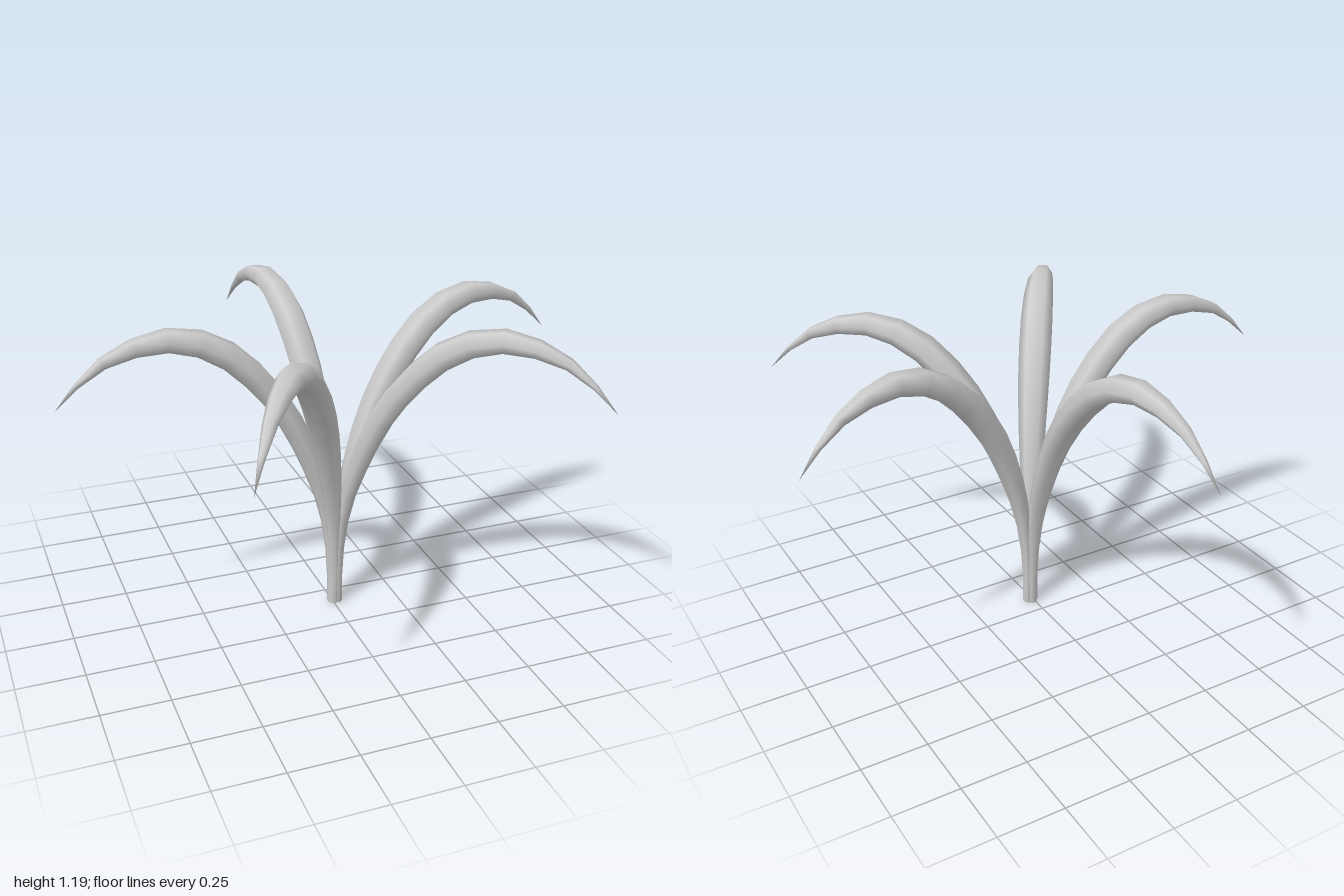
import * as THREE from 'three';
import { mergeVertices } from 'three/addons/utils/BufferGeometryUtils.js';

// Leaf midline: distance from the centre, height, half width
const MIDLINE = [
  [0.015, 0, 0.018], [0.017, 0.2, 0.02], [0.037, 0.4, 0.031], [0.08, 0.565, 0.044],
  [0.175, 0.793, 0.057], [0.28, 0.95, 0.0625], [0.405, 1.075, 0.062], [0.545, 1.143, 0.055],
  [0.65, 1.15, 0.047], [0.77, 1.125, 0.034], [0.88, 1.07, 0.019], [1.01, 0.943, 0],
];
const SIDES = 6;
const SEGMENTS = 16;
const THICKNESS = 0.85;

// Bends a six-sided tube along the midline, swelling and tapering to a point
function leafGeometry() {
  const curve = new THREE.CatmullRomCurve3(MIDLINE.map((p) => new THREE.Vector3(...p)));
  const tube = new THREE.CylinderGeometry(1, 1, 1, SIDES, SEGMENTS, true);
  const pos = tube.attributes.position;
  for (let i = 0; i < pos.count; i++) {
    const u = THREE.MathUtils.clamp(pos.getY(i) + 0.5, 0, 1);
    const c = curve.getPointAt(u);
    const t = curve.getTangentAt(u);
    const len = Math.hypot(t.x, t.y);
    const half = u > 0.999 ? 0 : c.z;
    const across = pos.getX(i) * half * THICKNESS;
    pos.setXYZ(i, c.x + (across * t.y) / len, c.y - (across * t.x) / len, pos.getZ(i) * half);
  }
  tube.deleteAttribute('uv');
  tube.deleteAttribute('normal');
  const merged = mergeVertices(tube, 1e-5);
  merged.computeVertexNormals();
  return merged;
}

export function createModel() {
  const model = new THREE.Group();
  model.name = 'plant';
  const material = new THREE.MeshStandardMaterial({ color: 0xcccccc });
  const blade = leafGeometry();

  // Flat underside closing each stem
  const [baseX, , baseHalf] = MIDLINE[0];
  const cap = new THREE.CircleGeometry(baseHalf, SIDES, Math.PI / 2);
  cap.rotateX(Math.PI / 2);
  cap.scale(THICKNESS, 1, 1);
  cap.translate(baseX, 0, 0);

  // Five arching leaves around a shared root, by compass angle from +x towards +z
  [180, -96.6, -13.6, 41.6, 124.3].forEach((deg, i) => {
    const leaf = new THREE.Group();
    leaf.name = `leaf${i + 1}`;
    const bladeMesh = new THREE.Mesh(blade, material);
    bladeMesh.name = 'leafBlade';
    const capMesh = new THREE.Mesh(cap, material);
    capMesh.name = 'stemEnd';
    leaf.add(bladeMesh, capMesh);
    leaf.position.set(0.01, 0, 0.08);
    leaf.rotation.y = -THREE.MathUtils.degToRad(deg);
    model.add(leaf);
  });
  return model;
}
